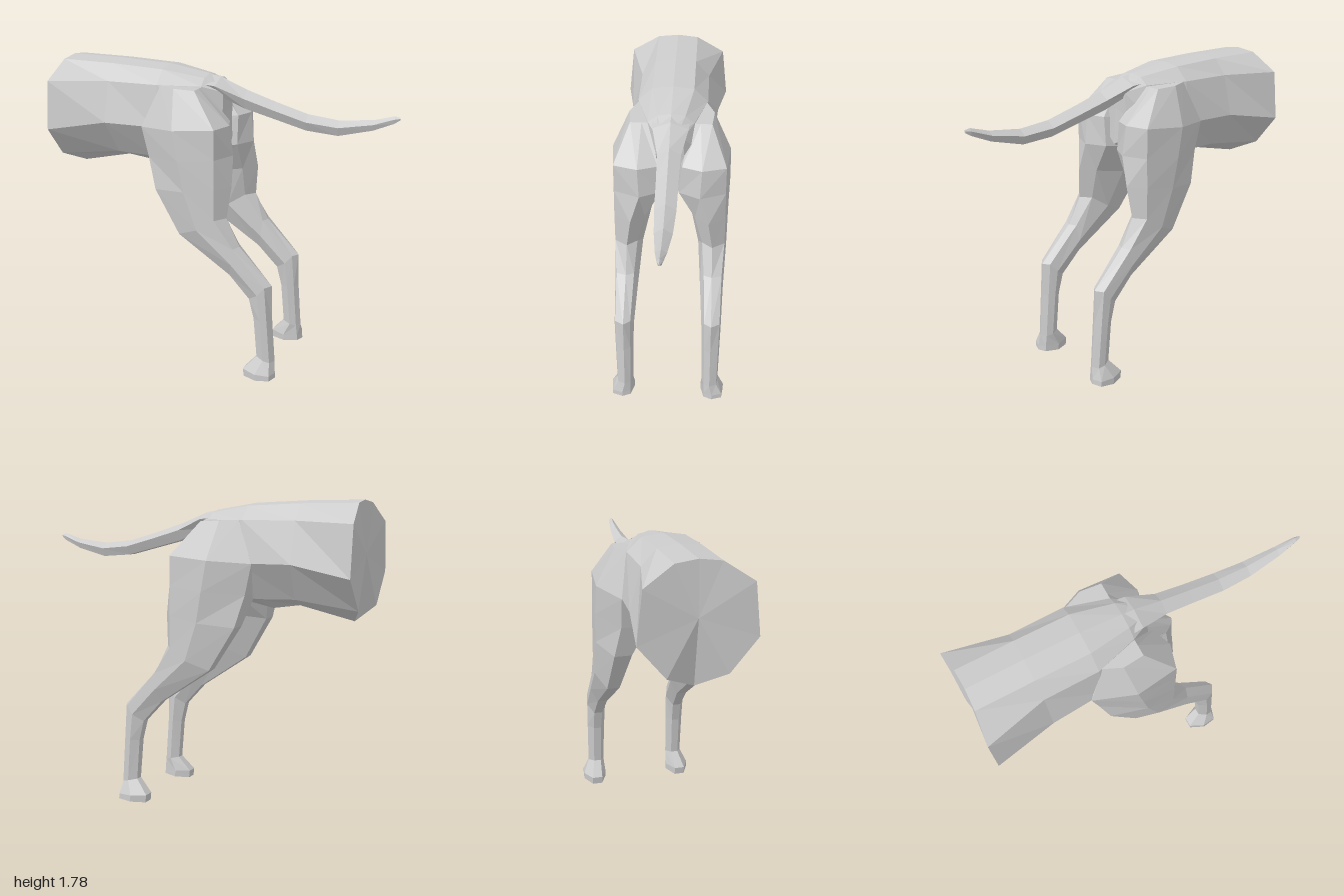
import * as THREE from 'three';

const material = new THREE.MeshStandardMaterial({ color: 0xcccccc, flatShading: true });

// Skin a list of equal-sized rings of [x, y, z] points and close both ends.
function loft(name, rings) {
  const n = rings[0].length;
  const tris = [];
  for (let i = 0; i < rings.length - 1; i++) {
    for (let j = 0; j < n; j++) {
      const k = (j + 1) % n;
      const a = rings[i][j], b = rings[i][k], c = rings[i + 1][k], d = rings[i + 1][j];
      tris.push([a, b, c], [a, c, d]);
    }
  }
  const first = rings[0], last = rings[rings.length - 1];
  for (const [ring, flip] of [[first, true], [last, false]]) {
    const centre = [0, 1, 2].map(c => ring.reduce((s, p) => s + p[c], 0) / n);
    ring.forEach((p, j) => {
      const q = ring[(j + 1) % n];
      tris.push(flip ? [centre, q, p] : [centre, p, q]);
    });
  }
  // Turn the whole skin outward if its signed volume is negative
  let volume = 0;
  for (const t of tris) {
    const [a, b, c] = t.map(p => new THREE.Vector3(...p));
    volume += a.dot(b.cross(c));
  }
  if (volume < 0) tris.forEach(t => t.reverse());
  const geometry = new THREE.BufferGeometry();
  geometry.setAttribute('position', new THREE.Float32BufferAttribute(tris.flat(2), 3));
  geometry.computeVertexNormals();
  const mesh = new THREE.Mesh(geometry, material);
  mesh.name = name;
  return mesh;
}

// Close a half ring (running from z = 0 round to z = 0) by mirroring it
function mirrorRing(half) {
  const other = half.filter(p => p[2] > 0).reverse().map(([x, y, z]) => [x, y, -z]);
  return [...half, ...other];
}

// Trunk: x, spine y, upper side, widest side, lower side as [z, y], belly [x, y]
function makeTrunk() {
  const sections = [
    [-1.0, 1.78, [0.28, 1.66], [0.31, 1.38], [0.16, 1.2], [-0.93, 1.125]],
    [-0.65, 1.775, [0.2, 1.67], [0.26, 1.44], [0.13, 1.24], [-0.61, 1.195]],
    [-0.34, 1.76, [0.2, 1.67], [0.24, 1.435], [0.12, 1.23], [-0.45, 1.17]],
    [-0.1, 1.72, [0.13, 1.665], [0.2, 1.45], [0.1, 1.27], [-0.2, 1.22]],
    [0.01, 1.68, [0.07, 1.63], [0.08, 1.5], [0.05, 1.35], [0.03, 1.32]],
  ];
  return loft('trunk', sections.map(([x, top, upper, side, lower, belly], i) => mirrorRing([
    [i ? x : -0.97, top, 0],
    [i ? x : -0.975, top - 0.015, Math.min(0.12, upper[0] * 0.6)],
    [x, upper[1], upper[0]],
    [x, side[1], side[0]],
    [i ? (x + belly[0]) / 2 : x, lower[1], lower[0]],
    [belly[0], belly[1], 0],
  ])));
}

// Tail: x, top y, bottom y, half width
function makeTail() {
  const sections = [
    [-0.28, 1.745, 1.62, 0.12], [-0.03, 1.705, 1.61, 0.1], [0.13, 1.64, 1.54, 0.065],
    [0.3, 1.585, 1.495, 0.06], [0.49, 1.53, 1.445, 0.058], [0.67, 1.51, 1.43, 0.048],
    [0.86, 1.53, 1.475, 0.03], [0.97, 1.56, 1.52, 0.015], [1.0, 1.555, 1.54, 0.005],
  ];
  return loft('tail', sections.map(([x, top, bottom, w]) => mirrorRing([
    [x, top, 0],
    [x, bottom + (top - bottom) * 0.6, w],
    [x, bottom, w * 0.6],
    [x, bottom, 0],
  ])));
}

// Leg: front [x, y], back [x, y], outer z, inner z, set-back of the outer rear edge
function makeLeg(name, side) {
  const sections = [
    [[-0.32, 1.67], [-0.1, 1.66], 0.24, 0.09, 0.0],
    [[-0.42, 1.435], [0.09, 1.47], 0.34, 0.02, 0.04],
    [[-0.38, 1.26], [0.11, 1.3], 0.342, 0.0, 0.06],
    [[-0.33, 1.08], [0.12, 1.13], 0.337, 0.11, 0.07],
    [[-0.18, 0.83], [0.1, 0.95], 0.333, 0.165, 0.05],
    [[0.13, 0.62], [0.18, 0.79], 0.32, 0.185, 0.02],
    [[0.25, 0.49], [0.38, 0.58], 0.315, 0.2, 0.03],
    [[0.28, 0.37], [0.385, 0.38], 0.312, 0.205, 0.02],
    [[0.3, 0.13], [0.405, 0.11], 0.308, 0.21, 0.02],
    [[0.225, 0.045], [0.413, 0.04], 0.345, 0.205, 0.02],
    [[0.23, 0.0], [0.415, 0.01], 0.345, 0.205, 0.02],
  ];
  return loft(name, sections.map(([f, b, zo, zi, back]) => {
    const mid = (zo + zi) / 2, half = (zo - zi) / 2;
    const at = (t, s, shift = 0) => [
      f[0] + (b[0] - f[0]) * t - shift, f[1] + (b[1] - f[1]) * t, side * (mid + half * s)];
    return [
      at(0, 0.42), at(0.45, 1), at(1, 0.85, back),
      at(1, 0), at(1, -0.7, back), at(0.45, -1), at(0, -0.45),
    ];
  }));
}

export function createModel() {
  const group = new THREE.Group();
  group.name = 'hindquarters';
  group.add(makeTrunk(), makeTail(), makeLeg('nearHindLeg', 1), makeLeg('farHindLeg', -1));
  return group;
}
